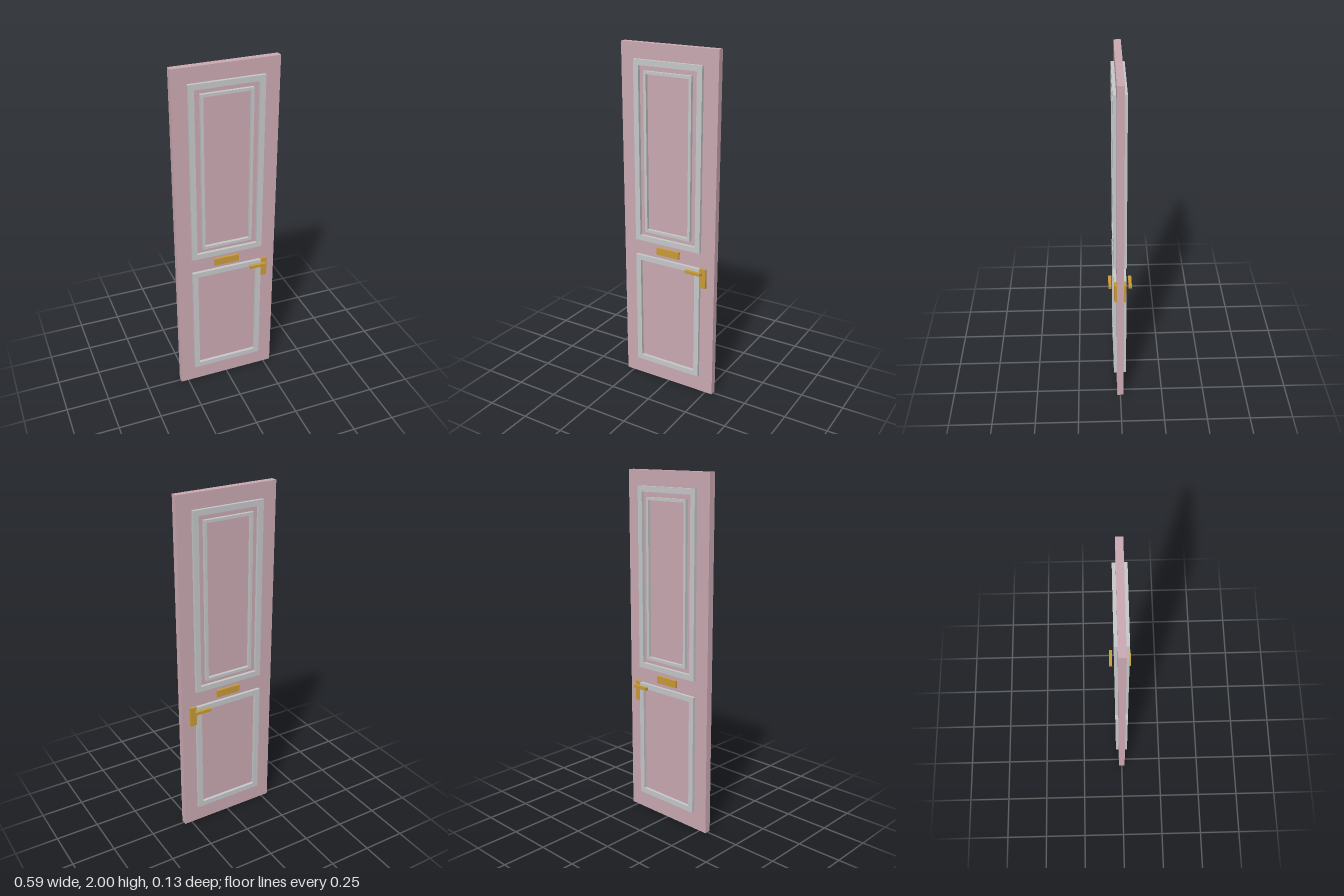
import * as THREE from 'three';

const paint = new THREE.MeshStandardMaterial({ name: 'dusty pink paint', color: 0xcba9b2 });
const trim = new THREE.MeshStandardMaterial({ name: 'light grey trim', color: 0xc6c8c9 });
const brass = new THREE.MeshStandardMaterial({ name: 'brass', color: 0xc99b38 });

// Box given by its lower and upper limits on each axis
function box(name, material, [x0, x1], [y0, y1], [z0, z1]) {
  const mesh = new THREE.Mesh(new THREE.BoxGeometry(x1 - x0, y1 - y0, z1 - z0), material);
  mesh.position.set((x0 + x1) / 2, (y0 + y1) / 2, (z0 + z1) / 2);
  mesh.name = name;
  return mesh;
}

function rectangle(path, x, y0, y1) {
  path.moveTo(-x, y0);
  path.lineTo(x, y0);
  path.lineTo(x, y1);
  path.lineTo(-x, y1);
  path.closePath();
  return path;
}

// Rectangular moulding with an opening, standing proud of both door faces
function moulding(name, x, y0, y1, width, halfDepth) {
  const shape = rectangle(new THREE.Shape(), x, y0, y1);
  shape.holes.push(rectangle(new THREE.Path(), x - width, y0 + width, y1 - width));
  const geometry = new THREE.ExtrudeGeometry(shape, { depth: 2 * halfDepth, bevelEnabled: false });
  geometry.translate(0, 0, -halfDepth);
  const mesh = new THREE.Mesh(geometry, trim);
  mesh.name = name;
  return mesh;
}

export function createModel() {
  const door = new THREE.Group();
  door.name = 'door';

  // Slab
  door.add(box('doorSlab', paint, [-0.294, 0.294], [0, 2], [-0.019, 0.019]));

  // Panel mouldings
  door.add(
    moulding('upperOuterMoulding', 0.2085, 0.888, 1.915, 0.031, 0.0365),
    moulding('upperInnerMoulding', 0.146, 0.946, 1.857, 0.016, 0.0365),
    moulding('lowerMoulding', 0.2085, 0.103, 0.795, 0.031, 0.0365)
  );

  // Letter plate and lock plate, both passing through the slab
  door.add(
    box('letterPlate', brass, [-0.073, 0.073], [0.819, 0.861], [-0.033, 0.033]),
    box('lockPlate', brass, [0.206, 0.246], [0.681, 0.797], [-0.033, 0.033])
  );

  // Lever handles, one on each side
  door.add(
    box('frontHandle', brass, [0.131, 0.228], [0.765, 0.782], [0.047, 0.065]),
    box('backHandle', brass, [0.131, 0.228], [0.765, 0.782], [-0.065, -0.047])
  );

  return door;
}
